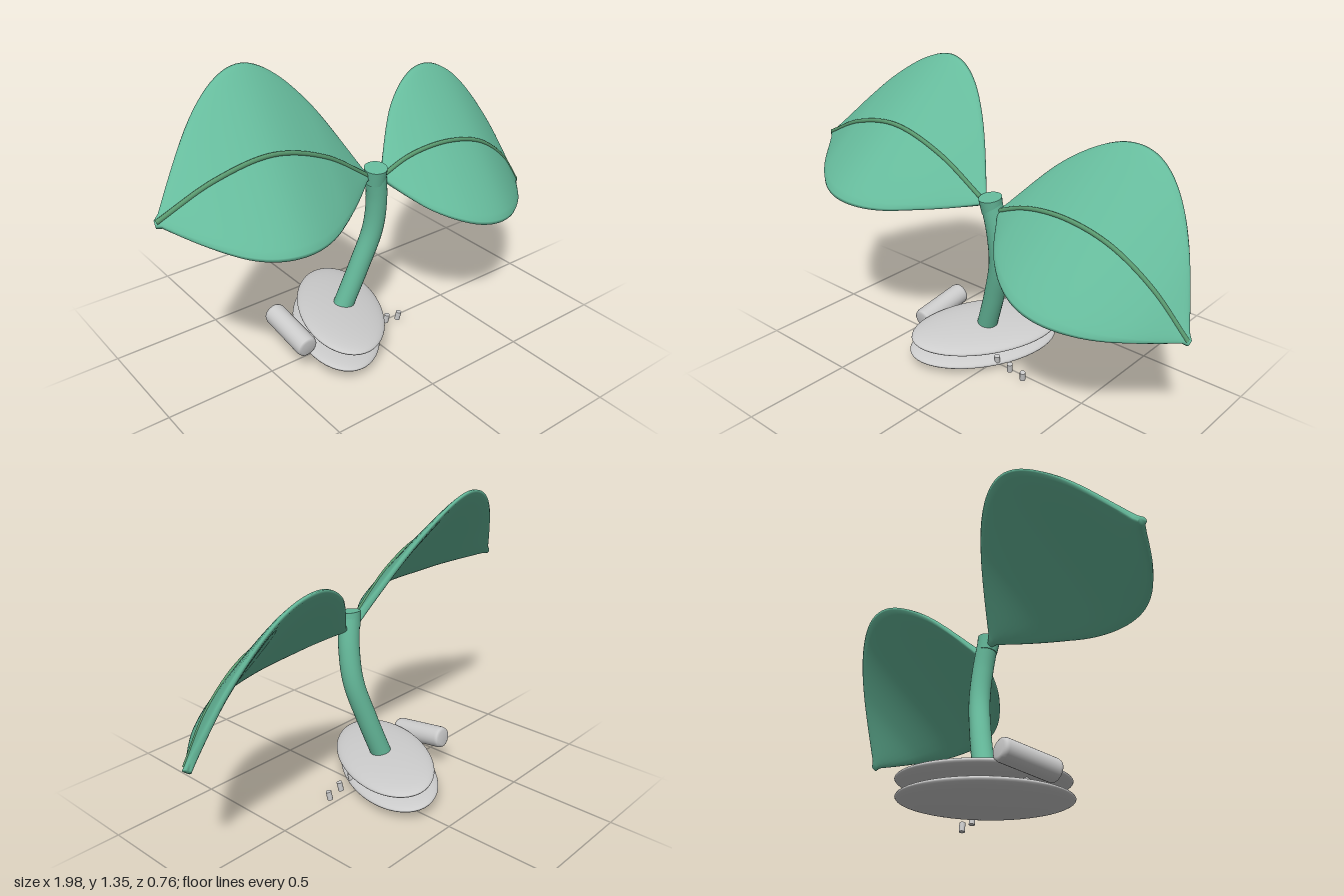
import * as THREE from 'three';

const V = (x, y, z) => new THREE.Vector3(x, y, z);
const grey = new THREE.MeshStandardMaterial({ color: 0xcccccc });
const green = new THREE.MeshStandardMaterial({ color: 0x66bb9c });
const darkGreen = new THREE.MeshStandardMaterial({ color: 0x5a9a70 });

function add(group, name, geometry, material) {
  const mesh = new THREE.Mesh(geometry, material);
  mesh.name = name;
  group.add(mesh);
  return mesh;
}

// Leaf blade: flat rounded cross-sections swept along the midrib, wide in the middle
function bladeGeometry(curve, across, thickness) {
  const rings = 48, sides = 28, pos = [], index = [];
  for (let i = 0; i <= rings; i++) {
    const u = i / rings;
    const centre = curve.getPoint(u);
    const normal = curve.getTangent(u).cross(across).normalize();
    const width = Math.max(0.035, Math.sin(Math.PI * u));
    for (let j = 0; j < sides; j++) {
      const a = (j / sides) * Math.PI * 2, s = Math.sin(a);
      const p = centre.clone()
        .addScaledVector(across, width * Math.cos(a))
        .addScaledVector(normal, thickness * Math.sign(s) * Math.sqrt(Math.abs(s)));
      pos.push(p.x, p.y, p.z);
    }
  }
  for (let i = 0; i < rings; i++) {
    for (let j = 0; j < sides; j++) {
      const k = (j + 1) % sides;
      const a = i * sides + j, b = i * sides + k;
      index.push(a, b, a + sides, b, b + sides, a + sides);
    }
  }
  // blunt ends
  const last = rings * sides;
  for (let j = 1; j < sides - 1; j++) {
    index.push(0, j + 1, j);
    index.push(last, last + j, last + j + 1);
  }
  const g = new THREE.BufferGeometry();
  g.setAttribute('position', new THREE.Float32BufferAttribute(pos, 3));
  g.setIndex(index);
  g.computeVertexNormals();
  return g;
}

function makeLeaf(name, points, across) {
  const leaf = new THREE.Group();
  leaf.name = name;
  const curve = new THREE.CatmullRomCurve3(points);
  add(leaf, 'blade', bladeGeometry(curve, across, 0.018), green);
  // raised vein along the upper face
  const vein = new THREE.CatmullRomCurve3(points.map(p => p.clone().add(V(0, 0.014, 0.012))));
  add(leaf, 'midrib', new THREE.TubeGeometry(vein, 48, 0.01, 8), darkGreen);
  return leaf;
}

export function createModel() {
  const model = new THREE.Group();
  const up = V(0, 1, 0);

  // Leaves, points ordered from -x to +x
  model.add(makeLeaf('rightLeaf', [
    V(-0.985, 0.925, 0.055), V(-0.75, 1.03, 0.075), V(-0.5, 1.067, 0.08),
    V(-0.25, 0.985, 0.065), V(-0.005, 0.82, 0.045)
  ], V(0.06, 0.285, -0.295)));
  model.add(makeLeaf('leftLeaf', [
    V(0.065, 0.8, 0.045), V(0.22, 0.855, 0.045), V(0.42, 0.87, 0.05),
    V(0.63, 0.82, 0.045), V(0.82, 0.69, 0.025), V(0.975, 0.505, -0.005)
  ], V(0.06, 0.285, -0.295)));

  // Curved stem with a slightly wider top
  const stemPath = new THREE.CatmullRomCurve3([
    V(-0.085, 0.15, -0.04), V(-0.01, 0.36, -0.01), V(0.045, 0.55, 0.02),
    V(0.05, 0.7, 0.04), V(0.03, 0.85, 0.057)
  ]);
  add(model, 'stem', new THREE.TubeGeometry(stemPath, 40, 0.047, 24), green);
  const cap = add(model, 'stemTop', new THREE.CylinderGeometry(0.051, 0.046, 0.07, 24), green);
  cap.position.set(0.03, 0.832, 0.056);
  cap.quaternion.setFromUnitVectors(up, V(-0.05, 1, 0.15).normalize());

  // Two stacked oval discs
  const turn = new THREE.Quaternion().setFromAxisAngle(up, -0.47);
  const tilt = new THREE.Quaternion().setFromUnitVectors(up, V(0.12, 1, 0.055).normalize());
  for (const [name, x, y, z] of [['upperDisc', -0.09, 0.145, -0.045], ['lowerDisc', -0.112, 0.064, -0.053]]) {
    const disc = add(model, name, new THREE.SphereGeometry(1, 48, 24), grey);
    disc.scale.set(0.197, 0.037, 0.363);
    disc.position.set(x, y, z);
    disc.quaternion.multiplyQuaternions(tilt, turn);
  }

  // Side roller with softened ends, its axis rising toward the back
  const profile = [[0, -0.14], [0.035, -0.14], [0.046, -0.133], [0.05, -0.12],
    [0.05, 0.12], [0.046, 0.133], [0.035, 0.14], [0, 0.14]];
  const roller = add(model, 'roller',
    new THREE.LatheGeometry(profile.map(([r, y]) => new THREE.Vector2(r, y)), 28), grey);
  roller.position.set(-0.372, 0.154, -0.035);
  roller.quaternion.setFromUnitVectors(up, V(0, 0.15, -1).normalize());

  // Row of small pegs running between the discs
  for (let i = 0; i < 7; i++) {
    const t = i / 6;
    const peg = add(model, 'peg', new THREE.CylinderGeometry(0.013, 0.013, 0.042, 12), grey);
    peg.position.set(0.195 - 0.44 * t, 0.03 + 0.088 * t, 0.032 + 0.014 * t);
    peg.quaternion.setFromUnitVectors(up, V(0.12, 1, 0.15).normalize());
  }
  return model;
}
